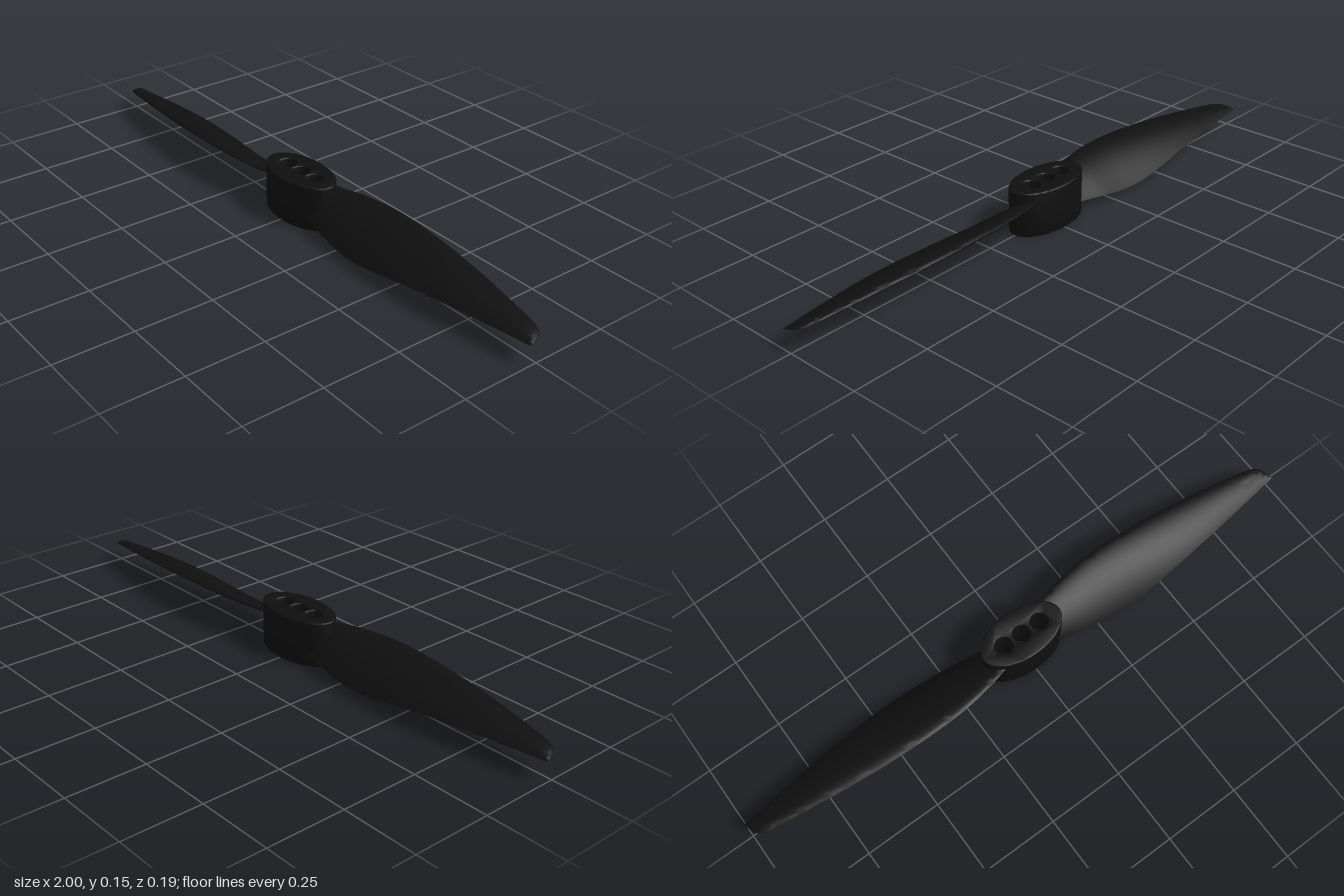
import * as THREE from 'three';
import { toCreasedNormals } from 'three/addons/utils/BufferGeometryUtils.js';

// Blade stations: x, leading edge z and y, trailing edge z and y
const STATIONS = [
  [0.098, -0.056, 0.118, 0.056, 0.042],
  [0.14, -0.067, 0.119, 0.064, 0.039],
  [0.2, -0.08, 0.122, 0.075, 0.034],
  [0.29, -0.092, 0.125, 0.086, 0.026],
  [0.38, -0.095, 0.125, 0.091, 0.028],
  [0.48, -0.093, 0.121, 0.088, 0.04],
  [0.6, -0.085, 0.113, 0.078, 0.054],
  [0.72, -0.072, 0.104, 0.065, 0.061],
  [0.82, -0.058, 0.095, 0.052, 0.063],
  [0.9, -0.046, 0.087, 0.041, 0.064],
  [0.955, -0.035, 0.081, 0.033, 0.064],
  [0.985, -0.018, 0.074, 0.029, 0.064],
  [1.0, 0.022, 0.066, 0.027, 0.065],
];

// Half thickness of a wing section, 1 at its thickest
const thickness = (t) =>
  (1.4845 * Math.sqrt(t) - 0.63 * t - 1.758 * t ** 2 + 1.4215 * t ** 3 - 0.518 * t ** 4) * 2;

function bladeGeometry() {
  const edge = (k) => new THREE.CatmullRomCurve3(
    STATIONS.map((s) => new THREE.Vector3(s[0], s[k + 1], s[k])), false, 'catmullrom', 0.5);
  const leading = edge(1), trailing = edge(3);
  const rows = 72, half = 14, ring = half * 2;
  const pos = [], index = [];
  for (let i = 0; i <= rows; i++) {
    const L = leading.getPoint(i / rows), T = trailing.getPoint(i / rows);
    const dz = T.z - L.z, dy = T.y - L.y;
    // Upper surface from trailing to leading edge, then the lower one back
    for (let j = 0; j < ring; j++) {
      const t = (1 + Math.cos((j / half) * Math.PI)) / 2;
      const side = j <= half ? 1 : -1;
      const h = 0.07 * 4 * t * (1 - t) + side * 0.06 * thickness(t);
      pos.push(L.x, L.y + dy * t + dz * h, L.z + dz * t - dy * h);
    }
  }
  for (let i = 0; i < rows; i++) {
    for (let j = 0; j < ring; j++) {
      const k = (j + 1) % ring;
      const a = i * ring + j, b = i * ring + k, c = a + ring, d = b + ring;
      index.push(a, c, b, b, c, d);
    }
  }
  // Close the tip
  for (let j = 1; j < ring - 1; j++) {
    const o = rows * ring;
    index.push(o, o + j + 1, o + j);
  }
  const geo = new THREE.BufferGeometry();
  geo.setAttribute('position', new THREE.Float32BufferAttribute(pos, 3));
  geo.setIndex(index);
  return toCreasedNormals(geo, 0.9);
}

function hubGeometry() {
  const shape = new THREE.Shape();
  shape.absellipse(0, 0, 0.145, 0.08, 0, Math.PI * 2, false);
  for (const x of [-0.067, 0, 0.067]) {
    const hole = new THREE.Path();
    hole.absarc(x, 0, 0.028, 0, Math.PI * 2, true);
    shape.holes.push(hole);
  }
  const bevel = 0.004;
  const geo = new THREE.ExtrudeGeometry(shape, {
    depth: 0.147 - 2 * bevel, curveSegments: 40,
    bevelThickness: bevel, bevelSize: bevel, bevelOffset: -bevel, bevelSegments: 3,
  });
  geo.translate(0, 0, bevel);
  geo.rotateX(-Math.PI / 2);
  return toCreasedNormals(geo, 0.7);
}

export function createModel() {
  const model = new THREE.Group();
  model.name = 'propeller';
  const black = new THREE.MeshStandardMaterial({ color: 0x0f0f0f });
  black.name = 'black plastic';

  // Oval hub with three through holes
  const hub = new THREE.Mesh(hubGeometry(), black);
  hub.name = 'hub';
  model.add(hub);

  // Two twisted blades, half a turn apart
  const blade = bladeGeometry();
  ['leftBlade', 'rightBlade'].forEach((name, i) => {
    const mesh = new THREE.Mesh(blade, black);
    mesh.name = name;
    mesh.rotation.y = i * Math.PI;
    model.add(mesh);
  });
  return model;
}
